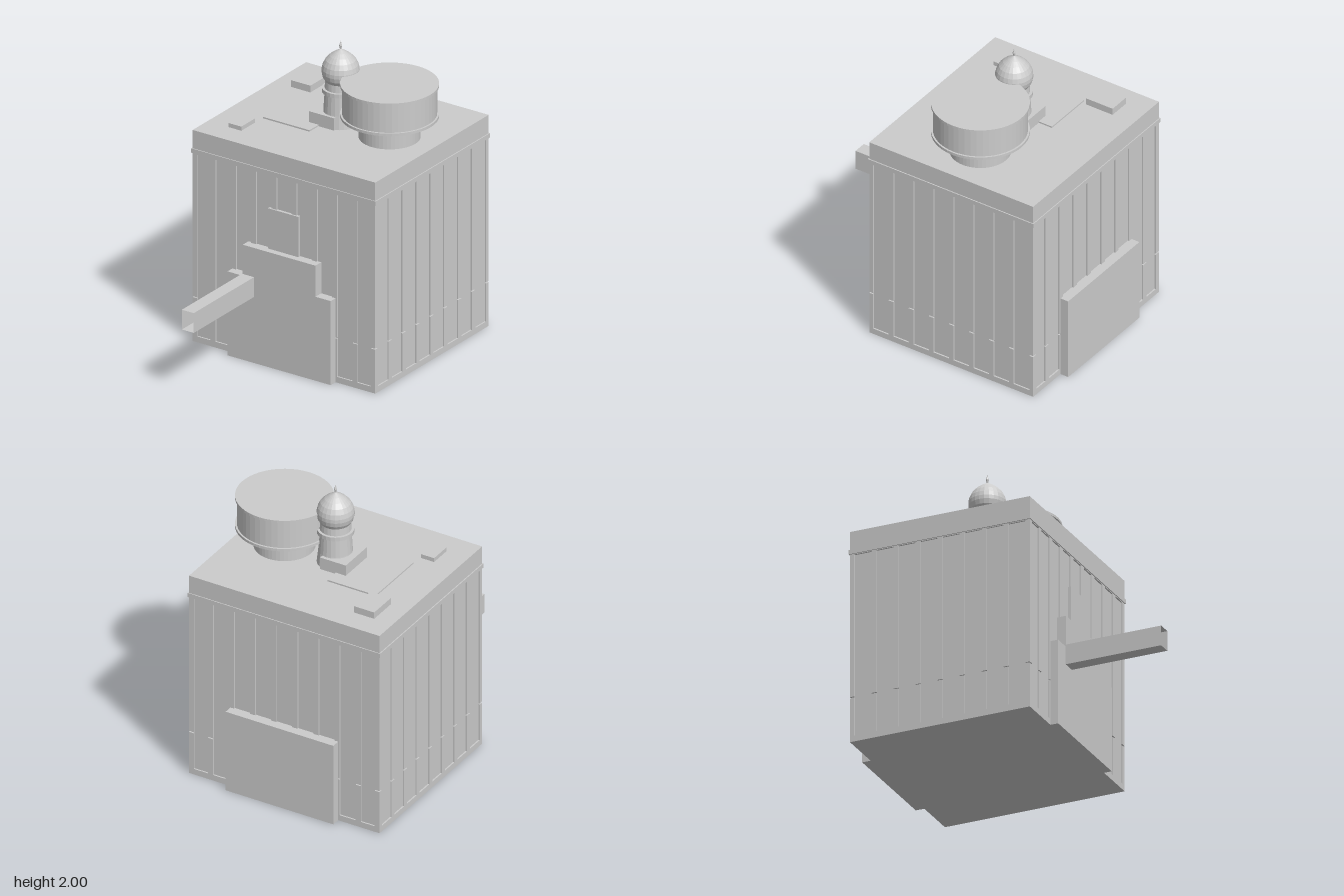
import * as THREE from 'three';

const MAT = new THREE.MeshStandardMaterial({ color: 0xcccccc });
const FLAT = new THREE.MeshStandardMaterial({ color: 0xcccccc, flatShading: true, side: THREE.DoubleSide });
const ZC = -0.325; // depth centre of the building

function add(parent, name, geometry, material = MAT) {
  const mesh = new THREE.Mesh(geometry, material);
  mesh.name = name;
  parent.add(mesh);
  return mesh;
}

// Box given by its limits on each axis
function box(parent, name, [x0, x1], [y0, y1], [z0, z1]) {
  const mesh = add(parent, name, new THREE.BoxGeometry(x1 - x0, y1 - y0, z1 - z0));
  mesh.position.set((x0 + x1) / 2, (y0 + y1) / 2, (z0 + z1) / 2);
  return mesh;
}

// Turned part from [radius, height] pairs
function turned(parent, name, profile, sides, x) {
  const points = profile.map(([r, y]) => new THREE.Vector2(r, y));
  const mesh = add(parent, name, new THREE.LatheGeometry(points, sides), FLAT);
  mesh.position.set(x, 0, ZC);
  return mesh;
}

// Walls: recessed core framed by plinth, top band and pilasters
function createWalls() {
  const walls = new THREE.Group();
  walls.name = 'walls';
  const hx = 0.69, hz = 0.617, recess = 0.01;
  const zSpan = (h) => [ZC - h, ZC + h];
  box(walls, 'core', [-hx + recess, hx - recess], [0.01, 1.3], zSpan(hz - recess));
  box(walls, 'plinth', [-hx, hx], [0, 0.04], zSpan(hz));
  box(walls, 'topBand', [-hx, hx], [1.28, 1.3], zSpan(hz));
  box(walls, 'cornice', [-0.697, 0.697], [1.285, 1.315], zSpan(0.623));
  box(walls, 'parapet', [-hx, hx], [1.315, 1.44], zSpan(hz));

  // Each pilaster is split by a narrow joint
  for (const span of [[0.04, 0.3], [0.308, 1.28]]) {
    for (const s of [-1, 1]) {
      const face = ZC + s * (hz - recess / 2);
      const zs = [face - recess / 2, face + recess / 2];
      for (let i = 0; i < 8; i++) {
        const x = (i - 3.5) * 0.153;
        box(walls, 'pilaster', [x - 0.019, x + 0.019], span, zs);
      }
      const side = s * (hx - recess / 2);
      const xs = [side - recess / 2, side + recess / 2];
      for (let i = 0; i < 7; i++) {
        const z = ZC + (i - 3) * 0.151;
        box(walls, 'pilaster', xs, span, [z - 0.018, z + 0.018]);
      }
      // Corner posts
      for (const t of [-1, 1]) {
        const cx = s * (hx - 0.0175), cz = ZC + t * (hz - 0.014);
        box(walls, 'cornerPost', [cx - 0.0175, cx + 0.0175], span, [cz - 0.014, cz + 0.014]);
      }
    }
  }
  return walls;
}

// Stepped entrance front
function createEntrance() {
  const entrance = new THREE.Group();
  entrance.name = 'entrance';
  const outline = [[-0.39, 0], [0.39, 0], [0.39, 0.573], [0.275, 0.573],
    [0.275, 0.785], [-0.275, 0.785], [-0.275, 0.573], [-0.39, 0.573]];
  const shape = new THREE.Shape(outline.map(([x, y]) => new THREE.Vector2(x, y)));
  const front = add(entrance, 'steppedFront',
    new THREE.ExtrudeGeometry(shape, { depth: 0.065, bevelEnabled: false }));
  front.position.z = 0.28;
  box(entrance, 'upperPanel', [-0.115, 0.115], [0.785, 1.06], [0.28, 0.302]);

  // Open-ended square walkway
  const tube = new THREE.CylinderGeometry(Math.SQRT1_2, Math.SQRT1_2, 1, 4, 1, true);
  tube.rotateY(Math.PI / 4).rotateX(Math.PI / 2).scale(0.09, 0.135, 0.655);
  add(entrance, 'walkway', tube, FLAT).position.set(-0.235, 0.518, 0.6725);
  return entrance;
}

// Domed tower with ring and finial
function createTower() {
  const tower = new THREE.Group();
  tower.name = 'tower';
  box(tower, 'towerBase', [-0.152, 0.035], [1.44, 1.524], [-0.455, -0.2]);
  turned(tower, 'shaft', [[0.118, 1.44], [0.108, 1.53], [0.1, 1.655]], 24, 0);
  turned(tower, 'ring', [[0.09, 1.655], [0.117, 1.655], [0.117, 1.682], [0.09, 1.682]], 24, 0);
  turned(tower, 'neck', [[0.1, 1.682], [0.097, 1.73]], 24, 0);
  turned(tower, 'dome', [[0.097, 1.73], [0.112, 1.755], [0.119, 1.785], [0.119, 1.81],
    [0.112, 1.84], [0.096, 1.872], [0.07, 1.9], [0.04, 1.922], [0.016, 1.936], [0, 1.945]], 24, 0);
  turned(tower, 'finial', [[0.005, 1.935], [0.005, 1.945], [0.01, 1.965], [0.005, 1.982], [0, 2]], 10, 0);
  return tower;
}

export function createModel() {
  const model = new THREE.Group();
  model.name = 'building';
  model.add(createWalls(), createEntrance(), createTower());
  box(model, 'rearAnnex', [-0.39, 0.39], [0, 0.573], [-1, -0.93]);

  // Round roof drum on a narrower foot
  turned(model, 'roofDrum', [[0.193, 1.44], [0.193, 1.54], [0.308, 1.582], [0.308, 1.6],
    [0.296, 1.6], [0.296, 1.788], [0.308, 1.788], [0.308, 1.805], [0, 1.805]], 48, 0.37);

  // Low roof blocks
  box(model, 'roofSlab', [-0.43, -0.08], [1.44, 1.45], [-0.555, -0.1]);
  box(model, 'rearRoofBox', [-0.557, -0.41], [1.44, 1.486], [-0.785, -0.585]);
  box(model, 'frontRoofBox', [-0.53, -0.435], [1.44, 1.468], [-0.02, 0.13]);
  return model;
}
